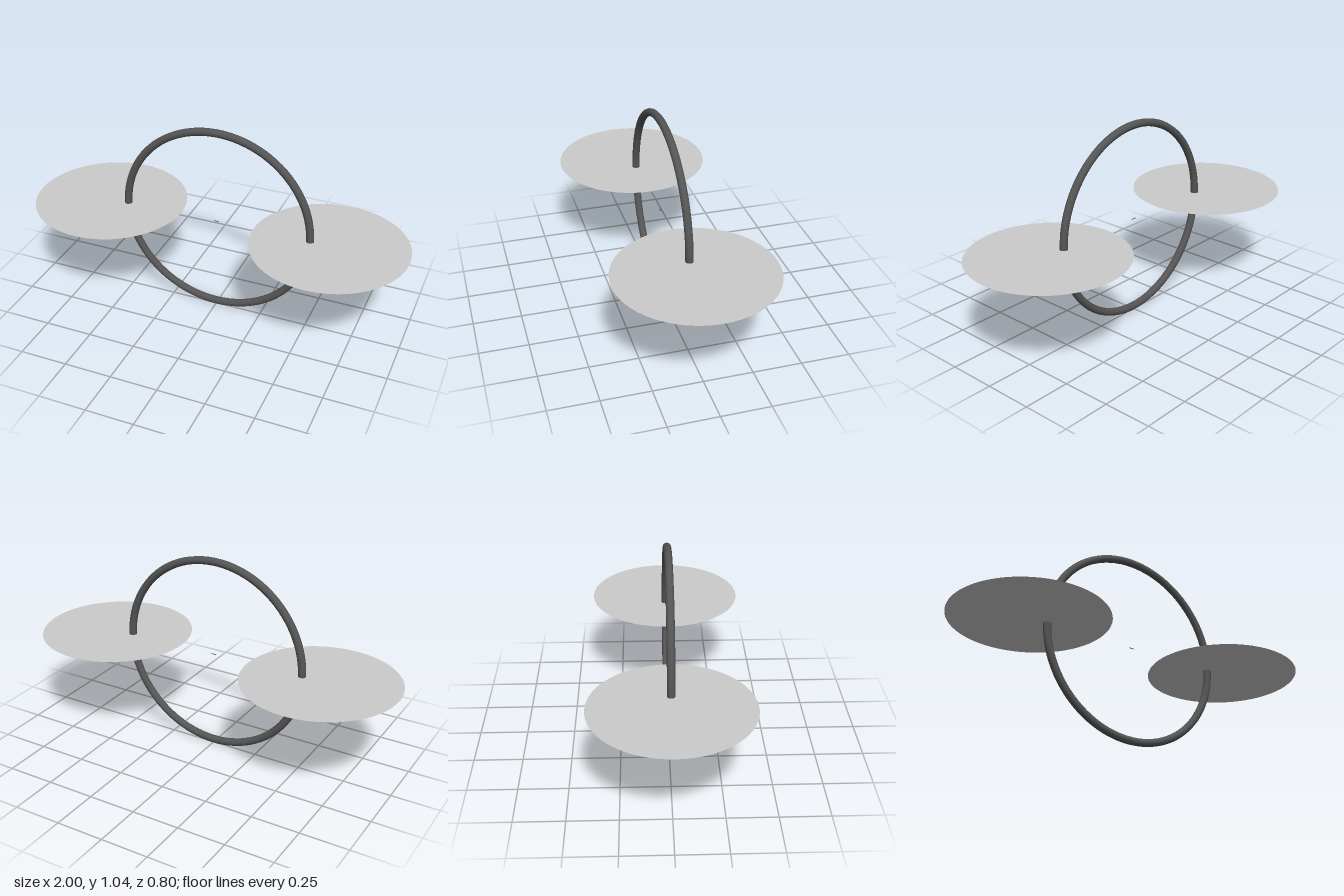
import * as THREE from 'three';

const CENTER_Y = 0.52;

export function createModel() {
  const group = new THREE.Group();
  const dark = new THREE.MeshStandardMaterial({ color: 0x555555 });
  const grey = new THREE.MeshStandardMaterial({ color: 0xcccccc, side: THREE.DoubleSide });

  const add = (name, geometry, material, x = 0) => {
    const mesh = new THREE.Mesh(geometry, material);
    mesh.name = name;
    mesh.position.set(x, CENTER_Y, 0);
    group.add(mesh);
    return mesh;
  };

  // Upright ring facing the front
  add('ring', new THREE.TorusGeometry(0.5, 0.02, 12, 96), dark);

  // Flat horizontal discs pierced by the ring on either side
  const disc = new THREE.CircleGeometry(0.4, 64).rotateX(-Math.PI / 2);
  add('leftDisc', disc, grey, 0.6);
  add('rightDisc', disc, grey, -0.6);

  // Tiny pin marking the centre
  add('centerPin', new THREE.CylinderGeometry(0.002, 0.002, 0.025, 8).rotateZ(Math.PI / 2), dark);

  return group;
}
